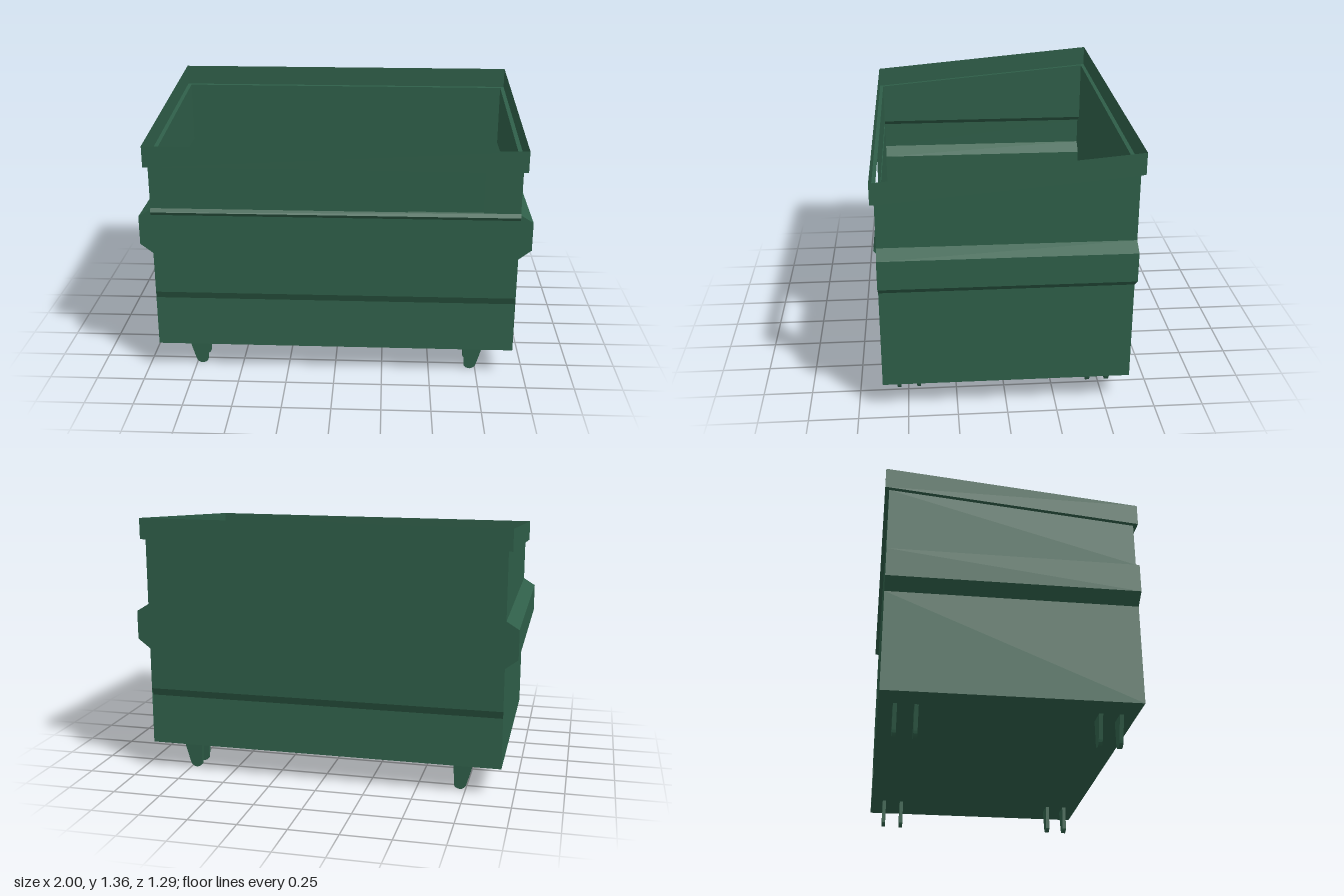
import * as THREE from 'three';

const W = 0.935, D = 0.625, FLOOR = 0.15;
const RIM_W = 0.957, RIM_D = 0.645, RIM_H = 0.11;
// Height of the sloping upper edge of the walls at depth z
const edgeY = (z) => 1.1975 - 0.089 * z;

const material = new THREE.MeshStandardMaterial({ color: 0x2f5f49, side: THREE.DoubleSide, flatShading: true });

function add(parent, name, geometry) {
  const mesh = new THREE.Mesh(geometry, material);
  mesh.name = name;
  parent.add(mesh);
  return mesh;
}

// Sheet spanned between successive polylines that have the same point count
function sheet(...lines) {
  const pos = [];
  for (let i = 0; i + 1 < lines.length; i++) {
    const a = lines[i], b = lines[i + 1];
    for (let j = 0; j + 1 < a.length; j++) {
      pos.push(...a[j], ...b[j], ...b[j + 1], ...a[j], ...b[j + 1], ...a[j + 1]);
    }
  }
  const g = new THREE.BufferGeometry();
  g.setAttribute('position', new THREE.Float32BufferAttribute(pos, 3));
  g.computeVertexNormals();
  return g;
}

// Flat polygon in the xy plane, moved to depth z
function plate(points, z) {
  return new THREE.ShapeGeometry(new THREE.Shape(points.map(([x, y]) => new THREE.Vector2(x, y)))).translate(0, 0, z);
}

export function createModel() {
  const model = new THREE.Group();
  model.name = 'dumpster';

  // Floor
  add(model, 'floor', sheet(
    [[-W, FLOOR, D], [W, FLOOR, D]],
    [[-W, FLOOR, -D], [W, FLOOR, -D]]));

  // Side walls with a hollow pressed-out rib, closed at both ends
  const rib = [[W, 0.67], [1, 0.72], [1, 0.87], [W, 0.91]];
  for (const s of [1, -1]) {
    const section = (z) => [[W, FLOOR], ...rib, [W, edgeY(z)]].map(([x, y]) => [s * x, y, z]);
    const name = s > 0 ? 'left' : 'right';
    add(model, name + 'Wall', sheet(section(D), section(-D)));
    for (const z of [D, -D]) add(model, name + 'RibEnd', plate(rib.map(([x, y]) => [s * x, y]), z));
  }

  // Front and back walls: profiles of [z, y] run across the width
  const across = (profile, s, x0, x1) => sheet(
    profile.map(([z, y]) => [x0, y, s * z]),
    profile.map(([z, y]) => [x1, y, s * z]));
  const lower = [[D, FLOOR], [D - 0.018, 0.41], [D, 0.45]];
  add(model, 'backWall', across([...lower, [D, edgeY(-D)]], -1, -W, W));
  const ridge = [[D, 0.88], [D + 0.013, 0.898], [D, 0.917]];
  add(model, 'frontWall', across([...lower, ...ridge], 1, -W, W));

  // Ridge ends
  for (const x of [W, -W]) {
    add(model, 'ridgeEnd', sheet(
      [[x, 0.88, D], [x, 0.917, D]],
      [[x, 0.898, D + 0.013], [x, 0.898, D + 0.013]]));
  }

  // Front wall above the ridge, split around the window opening
  for (const [x0, x1] of [[-W, 0.37], [0.75, W]]) {
    add(model, 'frontUpperPanel', across([[D, 0.917], [D, edgeY(D)]], 1, x0, x1));
  }

  // Sloping rim: a small step outward, then an upright band
  const ring = (w, d, lift) =>
    [[w, d], [w, -d], [-w, -d], [-w, d], [w, d]].map(([x, z]) => [x, edgeY(z) + lift, z]);
  add(model, 'rim', sheet(ring(W, D, 0), ring(RIM_W, RIM_D, 0), ring(RIM_W, RIM_D, RIM_H)));

  // Feet: pairs of tapered plates with rounded tips near each corner
  const foot = new THREE.Shape();
  foot.moveTo(0.685, FLOOR);
  foot.lineTo(0.69, 0.02);
  foot.quadraticCurveTo(0.695, 0.003, 0.722, 0);
  foot.quadraticCurveTo(0.748, 0.003, 0.755, 0.03);
  foot.lineTo(0.79, FLOOR);
  foot.closePath();
  const footGeometry = new THREE.ExtrudeGeometry(foot, { depth: 0.02, bevelEnabled: false, curveSegments: 4 });
  footGeometry.translate(0, 0, -0.01);
  for (const s of [1, -1]) {
    for (const z of [0.547, 0.445, -0.445, -0.547]) {
      const mesh = add(model, 'foot', footGeometry);
      mesh.rotation.y = s > 0 ? 0 : Math.PI;
      mesh.position.z = z;
    }
  }
  return model;
}
